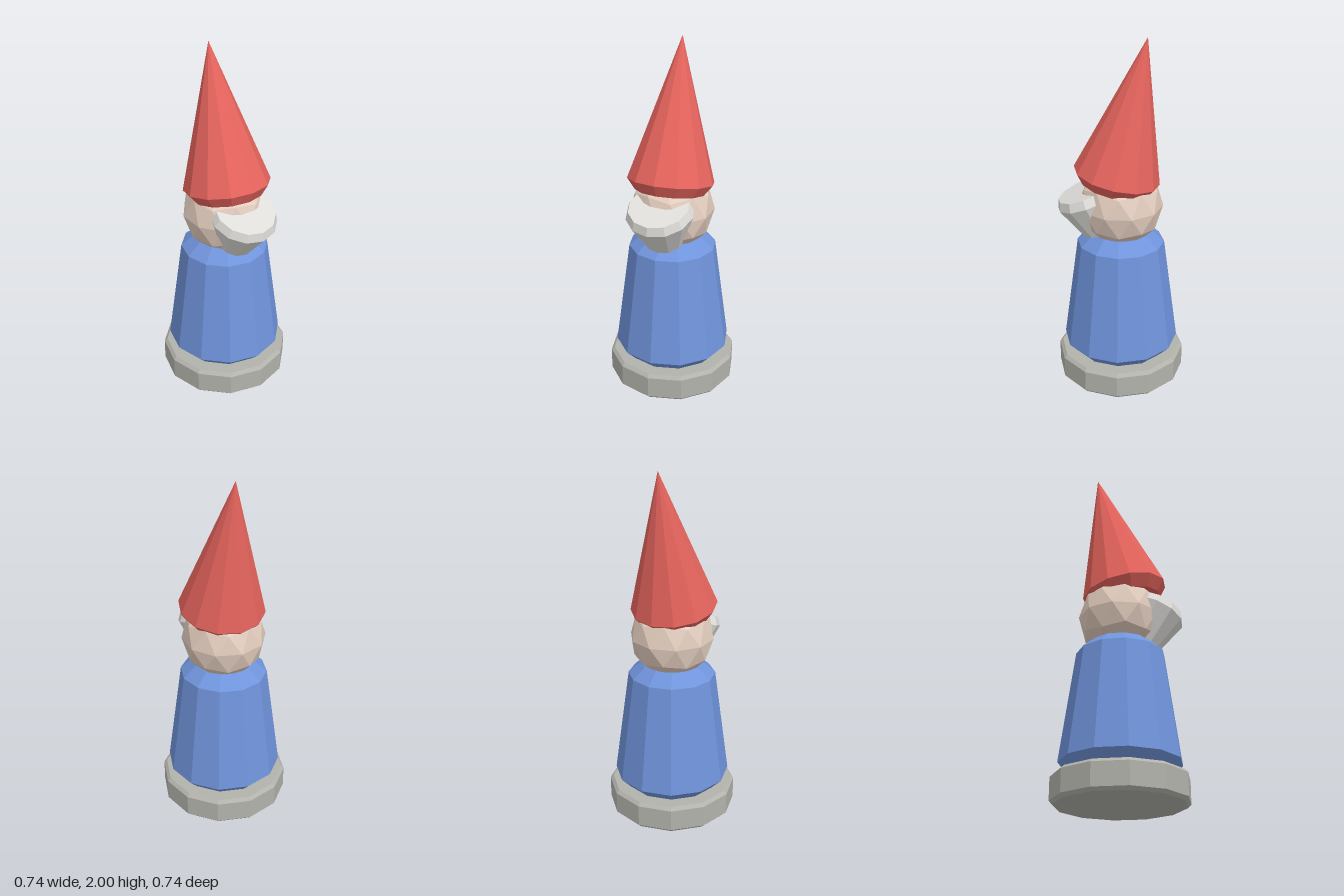
import * as THREE from 'three';

const makeMaterial = (name, color) => {
  const m = new THREE.MeshStandardMaterial({ color });
  m.name = name;
  return m;
};

// Give every face its own normal for the faceted look
function facet(geometry) {
  const g = geometry.index ? geometry.toNonIndexed() : geometry;
  g.computeVertexNormals();
  return g;
}

// Twelve-sided turned solid from [radius, height] points, listed bottom to top
function turned(name, profile, material) {
  const points = profile.map(([r, y]) => new THREE.Vector2(r, y));
  const mesh = new THREE.Mesh(facet(new THREE.LatheGeometry(points, 12)), material);
  mesh.name = name;
  return mesh;
}

export function createModel() {
  const stone = makeMaterial('stone grey', 0xb3b3ac);
  const blue = makeMaterial('coat blue', 0x7094dc);
  const skin = makeMaterial('skin', 0xe4cebf);
  const red = makeMaterial('hat red', 0xe6645d);
  const white = makeMaterial('beard white', 0xdfdeda);

  const model = new THREE.Group();
  model.name = 'gardenFigure';

  // Bevelled plinth
  const base = turned('base', [[0, 0], [0.352, 0], [0.37, 0.018], [0.37, 0.142], [0.352, 0.16], [0, 0.16]], stone);

  // Tapered coat with sloped hem and shoulders
  const coat = turned('coat', [[0, 0.155], [0.27, 0.155], [0.333, 0.222], [0.248, 0.84], [0.172, 0.905], [0, 0.905]], blue);

  // Faceted head, turned so one vertex points straight up
  const headShape = new THREE.IcosahedronGeometry(0.238, 1);
  headShape.rotateX(-Math.atan((1 + Math.sqrt(5)) / 2));
  headShape.rotateY(Math.PI / 2);
  const head = new THREE.Mesh(facet(headShape), skin);
  head.name = 'head';
  head.position.y = 1.062;

  // Pointed hat leaning back, origin at the rim
  const hat = turned('hat', [[0, -0.062], [0.197, -0.062], [0.244, 0], [0, 0.782]], red);
  hat.position.set(0, 1.235, 0.022);
  hat.rotation.x = -0.209;

  // Beard: upturned cone leaning forward, its tip inside the coat
  const beard = turned('beard', [[0, -0.56], [0.191, -0.048], [0.17, 0], [0, 0]], white);
  beard.position.set(0, 1.147, 0.194);
  beard.rotation.x = 0.37;

  model.add(base, coat, head, hat, beard);
  return model;
}
